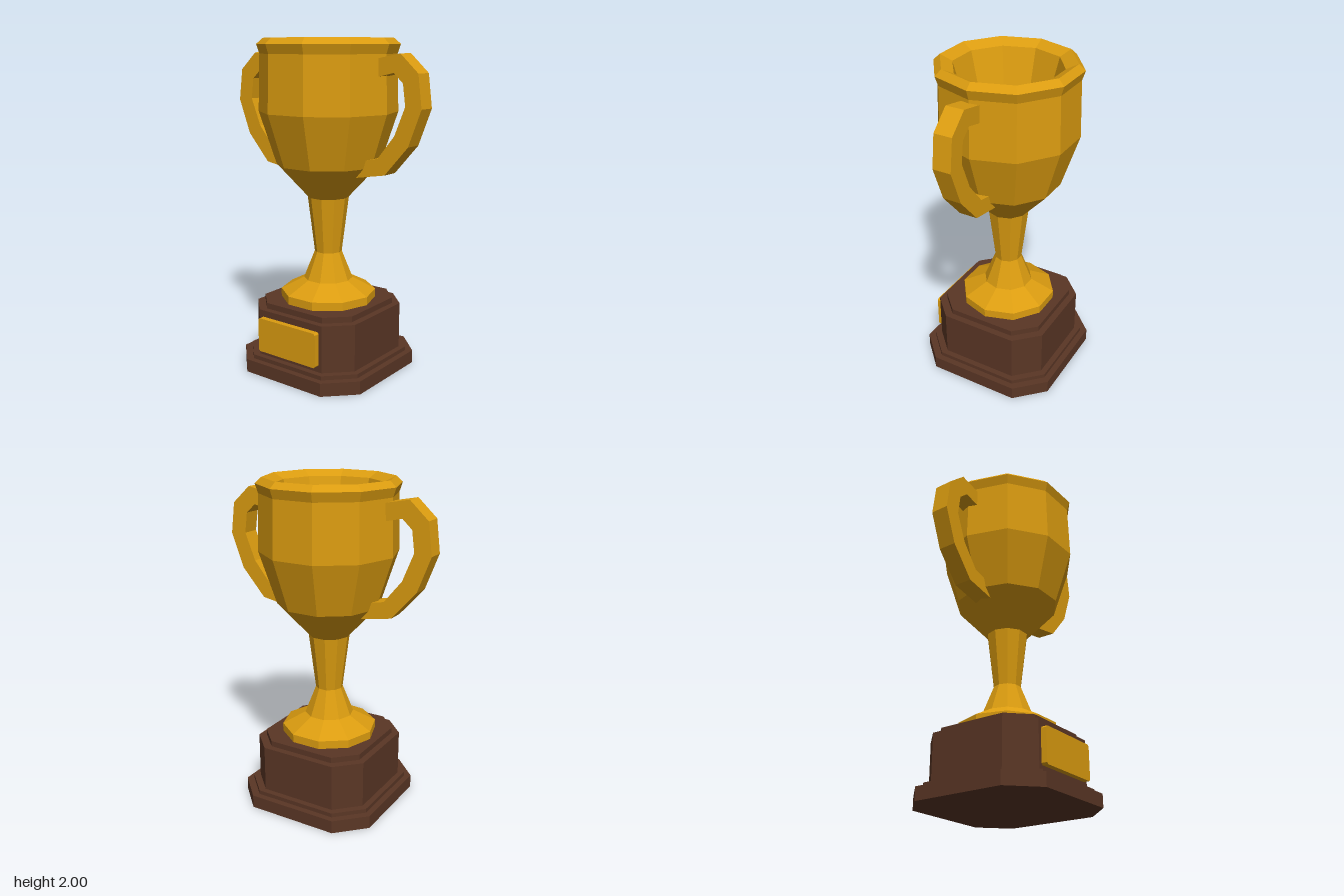
import * as THREE from 'three';

const gold = new THREE.MeshStandardMaterial({ color: 0xdb9c10 });
gold.name = 'gold';
const wood = new THREE.MeshStandardMaterial({ color: 0x5a3625 });
wood.name = 'darkWood';

// Mesh with hard facets
function facetedMesh(name, geometry, material) {
  const geo = geometry.index ? geometry.toNonIndexed() : geometry;
  geo.computeVertexNormals();
  const mesh = new THREE.Mesh(geo, material);
  mesh.name = name;
  return mesh;
}

const toPoints = (pairs) => pairs.map(([x, y]) => new THREE.Vector2(x, y));

// Rectangle with cut corners, given half sizes and the cut length
function cutRectangle(w, h, cut) {
  return new THREE.Shape(toPoints([
    [w, -h + cut], [w, h - cut], [w - cut, h], [-w + cut, h],
    [-w, h - cut], [-w, -h + cut], [-w + cut, -h], [w - cut, -h],
  ]));
}

const extrude = (shape, depth) =>
  new THREE.ExtrudeGeometry(shape, { depth, bevelEnabled: false });

export function createModel() {
  const group = new THREE.Group();
  group.name = 'trophy';

  // Stepped wooden base: half width, bottom, top
  const tiers = [
    ['basePlinth', 0.447, 0, 0.08],
    ['baseStep', 0.41, 0.08, 0.105],
    ['baseBlock', 0.375, 0.105, 0.39],
    ['baseCap', 0.335, 0.39, 0.425],
  ];
  for (const [name, half, bottom, top] of tiers) {
    const geo = extrude(cutRectangle(half, half, half * 0.365), top - bottom);
    geo.rotateX(-Math.PI / 2).translate(0, bottom, 0);
    group.add(facetedMesh(name, geo, wood));
  }

  // Plaque on the front of the base
  const plaque = extrude(cutRectangle(0.217, 0.105, 0.01), 0.04);
  plaque.translate(0, 0.245, 0.37);
  group.add(facetedMesh('plaque', plaque, gold));

  // Foot, stem, bowl, rim and hollow inside in one ten-sided profile
  const profile = toPoints([
    [0, 0.425], [0.292, 0.425], [0.292, 0.475], [0.15, 0.55],
    [0.083, 0.72], [0.125, 1.06], [0.312, 1.26], [0.415, 1.575],
    [0.405, 1.91], [0.423, 1.965], [0.385, 2],
    [0.315, 1.965], [0.25, 1.73], [0, 1.52],
  ]);
  const cup = new THREE.LatheGeometry(profile, 10);
  cup.rotateY(Math.PI / 2);
  group.add(facetedMesh('cup', cup, gold));

  // Handles: outer edge down, inner edge back up
  const handleShape = new THREE.Shape(toPoints([
    [0.36, 1.79], [0.40, 1.79], [0.49, 1.81], [0.55, 1.755], [0.567, 1.63],
    [0.50, 1.465], [0.39, 1.33], [0.27, 1.305],
    [0.24, 1.205], [0.44, 1.24], [0.59, 1.41], [0.67, 1.62],
    [0.645, 1.81], [0.53, 1.915], [0.40, 1.89], [0.36, 1.88],
  ]));
  for (const [name, turn] of [['leftHandle', 0], ['rightHandle', Math.PI]]) {
    const geo = extrude(handleShape, 0.11);
    geo.translate(0, 0, -0.055).rotateY(turn);
    group.add(facetedMesh(name, geo, gold));
  }

  return group;
}
